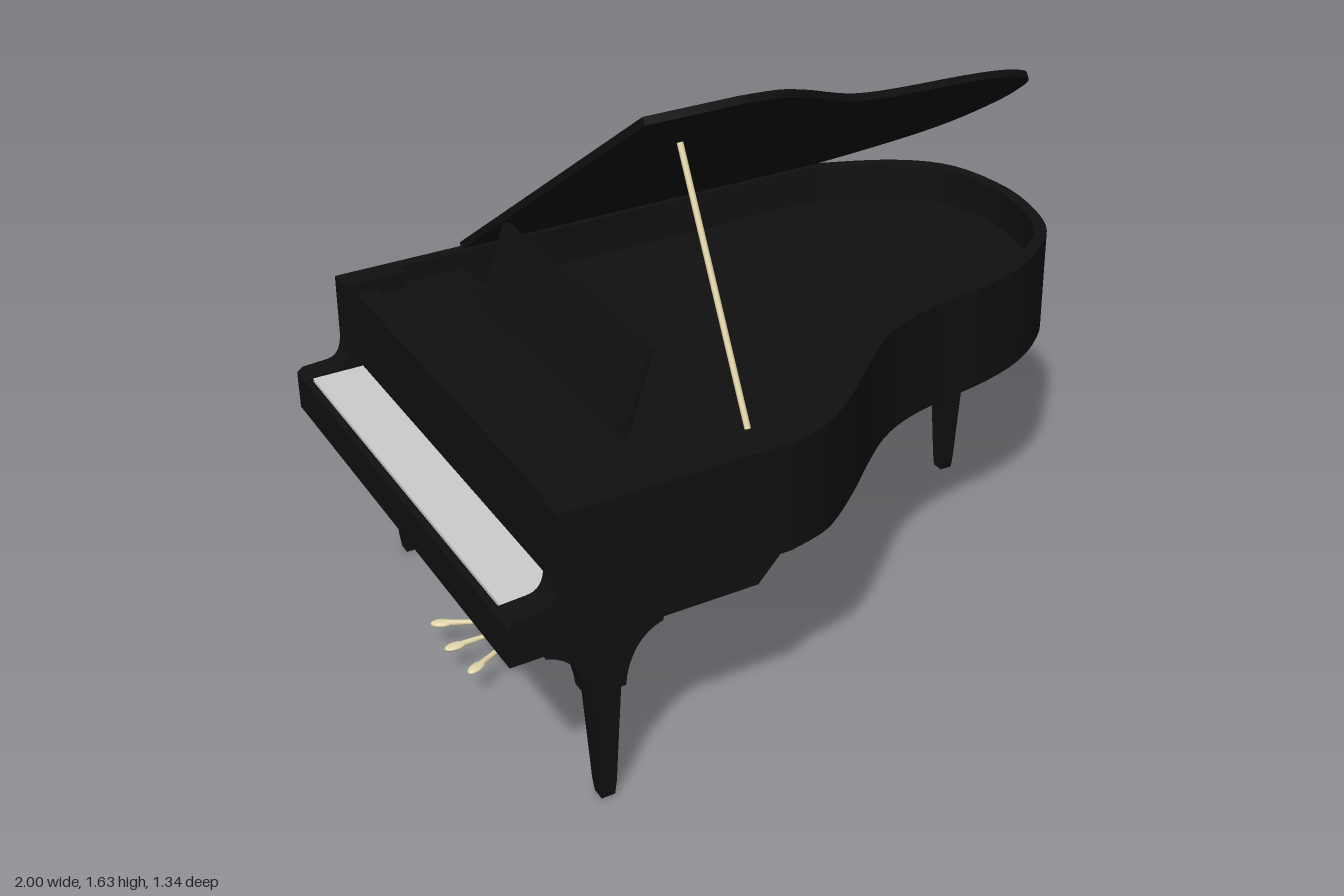
import * as THREE from 'three';
import { toCreasedNormals } from 'three/addons/utils/BufferGeometryUtils.js';

const black = new THREE.MeshStandardMaterial({ color: 0x101010 });
const brass = new THREE.MeshStandardMaterial({ color: 0xe0d4a8 });
const ivory = new THREE.MeshStandardMaterial({ color: 0xcccccc });

const V = (x, y, z) => new THREE.Vector3(x, y, z);

function add(parent, name, geometry, material = black) {
  const mesh = new THREE.Mesh(geometry, material);
  mesh.name = name;
  parent.add(mesh);
  return mesh;
}

// Box given by its minimum and maximum on each axis
function box(parent, name, [x0, x1], [y0, y1], [z0, z1], material) {
  const mesh = add(parent, name, new THREE.BoxGeometry(x1 - x0, y1 - y0, z1 - z0), material);
  mesh.position.set((x0 + x1) / 2, (y0 + y1) / 2, (z0 + z1) / 2);
  return mesh;
}

// Round rod between two points
function rod(parent, name, a, b, rA, rB = rA) {
  const dir = b.clone().sub(a);
  const mesh = add(parent, name, new THREE.CylinderGeometry(rB, rA, dir.length(), 10), brass);
  mesh.position.copy(a).add(b).multiplyScalar(0.5);
  mesh.quaternion.setFromUnitVectors(V(0, 1, 0), dir.normalize());
  return mesh;
}

// Plan of the case as (x, z) points, from the spine round the tail to the bent side
function outline(x0) {
  const bend = new THREE.SplineCurve([
    [0.58, -0.67], [0.78, -0.59], [0.91, -0.5], [0.975, -0.39], [1, -0.22], [0.98, -0.08],
    [0.94, 0.03], [0.87, 0.11], [0.75, 0.19], [0.6, 0.24], [0.42, 0.27], [0.3, 0.3], [0.2, 0.35],
    [0.1, 0.43], [0, 0.52], [-0.1, 0.6], [-0.17, 0.64], [-0.27, 0.665],
  ].map(([x, z]) => new THREE.Vector2(x, z))).getPoints(51);
  return [new THREE.Vector2(x0, -0.67), ...bend, new THREE.Vector2(x0, 0.665)];
}

// Points moved inwards from the plan by the rim thickness
function inset(points, t) {
  return points.map((p, i) => {
    const a = points[Math.max(i - 1, 0)], b = points[Math.min(i + 1, points.length - 1)];
    const end = i === 0 || i === points.length - 1;
    const d = end ? new THREE.Vector2(i === 0 ? 1 : -1, 0) : b.clone().sub(a).normalize();
    return new THREE.Vector2(p.x - d.y * t, p.y + d.x * t);
  });
}

// Horizontal slab cut to a plan
function slab(points, yTop, height) {
  const g = new THREE.ExtrudeGeometry(new THREE.Shape(points), { depth: height, bevelEnabled: false });
  g.rotateX(Math.PI / 2).translate(0, yTop, 0);
  return toCreasedNormals(g, 0.5);
}

// Side profile in x and y, extruded from z0 to z1
function profile(shape, z0, z1) {
  const g = new THREE.ExtrudeGeometry(shape, { depth: z1 - z0, bevelEnabled: false, curveSegments: 8 });
  return toCreasedNormals(g.translate(0, 0, z0), 0.5);
}

// Tapered leg with curved brackets on both sides
function legGeometry() {
  const s = new THREE.Shape();
  s.moveTo(-0.018, 0);
  s.lineTo(0.018, 0);
  s.lineTo(0.023, 0.04);
  s.lineTo(0.037, 0.32);
  s.lineTo(0.05, 0.32);
  s.bezierCurveTo(0.055, 0.4, 0.09, 0.455, 0.15, 0.47);
  s.lineTo(0.15, 0.5);
  s.lineTo(-0.15, 0.5);
  s.lineTo(-0.15, 0.47);
  s.bezierCurveTo(-0.09, 0.455, -0.055, 0.4, -0.05, 0.32);
  s.lineTo(-0.037, 0.32);
  s.lineTo(-0.023, 0.04);
  const g = new THREE.ExtrudeGeometry(s, { depth: 0.07, bevelEnabled: false, curveSegments: 8 });
  g.translate(0, 0, -0.035);
  const p = g.attributes.position;
  for (let i = 0; i < p.count; i++) {
    p.setZ(i, p.getZ(i) * THREE.MathUtils.lerp(0.52, 1, Math.min(p.getY(i) / 0.4, 1)));
  }
  return toCreasedNormals(g, 0.5);
}

function buildCase(piano) {
  const body = new THREE.Group();
  body.name = 'case';
  piano.add(body);

  // Rim, bottom and soundboard
  const outer = outline(-0.7);
  add(body, 'rim', slab([...outer, ...inset(outer, 0.035).reverse()], 0.86, 0.295));
  add(body, 'bottom', slab(inset(outline(-0.8), 0.01), 0.6, 0.034));
  add(body, 'soundboard', slab(inset(outline(-0.78), 0.02), 0.75, 0.03));

  // Key bed with a sloped rear edge
  const bed = new THREE.Shape([[-1, 0.5], [-0.36, 0.5], [-0.3, 0.565], [-1, 0.565]]
    .map(([x, y]) => new THREE.Vector2(x, y)));
  add(body, 'keyBed', profile(bed, -0.67, 0.665));

  // Arms beside the keys, sweeping up to the rim
  const arm = new THREE.Shape();
  arm.moveTo(-1, 0.565);
  arm.lineTo(-0.7, 0.565);
  arm.lineTo(-0.7, 0.86);
  arm.lineTo(-0.87, 0.86);
  arm.lineTo(-0.872, 0.69);
  arm.bezierCurveTo(-0.875, 0.64, -0.89, 0.623, -0.92, 0.622);
  arm.lineTo(-0.985, 0.618);
  arm.lineTo(-1, 0.605);
  add(body, 'leftArm', profile(arm, 0.59, 0.665));
  add(body, 'rightArm', profile(arm, -0.67, -0.6));

  // Keyboard, fallboard and shelf
  box(body, 'keySlip', [-1, -0.98], [0.565, 0.605], [-0.6, 0.59]);
  box(body, 'keys', [-0.98, -0.84], [0.565, 0.615], [-0.6, 0.59], ivory);
  box(body, 'fallboard', [-0.84, -0.78], [0.565, 0.83], [-0.6, 0.59]);
  box(body, 'musicShelf', [-0.78, -0.52], [0.79, 0.81], [-0.64, 0.635]);

  // Music desk leaning back
  const desk = box(body, 'musicDesk', [-0.535, -0.52], [0.81, 1.045], [-0.4, 0.4]);
  desk.rotation.z = -0.338;
  const ledge = box(body, 'musicLedge', [-0.59, -0.545], [0.845, 0.86], [-0.4, 0.4]);
  ledge.rotation.z = -0.25;
}

function buildLid(piano) {
  // Raised lid turning on the spine
  const hinge = new THREE.Group();
  hinge.name = 'lid';
  hinge.position.set(0, 0.86, -0.67);
  hinge.rotation.x = -Math.atan2(0.76, 1.1);
  add(hinge, 'lidPanel', slab(outline(-0.51), 0.01, 0.02).translate(0, 0, 0.67));
  piano.add(hinge);
  rod(piano, 'lidProp', V(-0.31, 0.84, 0.53), V(-0.31, 1.45, 0.22), 0.008);
}

function buildPedals(piano) {
  const lyre = new THREE.Group();
  lyre.name = 'pedalLyre';
  piano.add(lyre);
  box(lyre, 'lyreTop', [-0.8, -0.66], [0.475, 0.5], [-0.16, 0.16]);
  box(lyre, 'lyreBase', [-0.78, -0.67], [0.07, 0.105], [-0.11, 0.11]);
  for (const side of [-1, 1]) {
    const z = side * 0.06;
    box(lyre, 'lyrePost', [-0.77, -0.72], [0.1, 0.48], [z - 0.017, z + 0.017]);
    rod(lyre, 'lyreBrace', V(-0.68, 0.09, z * 0.85), V(-0.42, 0.51, z * 0.85), 0.005);
  }
  for (const k of [-1, 0, 1]) {
    rod(lyre, 'pedalRod', V(-0.692, 0.1, k * 0.05), V(-0.692, 0.5, k * 0.05), 0.005);
    const tip = V(k ? -0.86 : -0.87, 0.087, k * 0.11);
    rod(lyre, 'pedalArm', V(-0.76, 0.087, k * 0.06), tip, 0.006, 0.009);
    const pad = add(lyre, 'pedalPad', new THREE.SphereGeometry(1, 14, 10), brass);
    pad.scale.set(0.03, 0.008, 0.016);
    pad.position.copy(tip);
    pad.rotation.y = k * 0.45;
  }
}

export function createModel() {
  const piano = new THREE.Group();
  piano.name = 'grandPiano';
  buildCase(piano);
  buildLid(piano);
  buildPedals(piano);

  // Two legs under the keyboard, one under the tail
  const leg = legGeometry();
  add(piano, 'frontLeftLeg', leg).position.set(-0.75, 0, 0.605);
  add(piano, 'frontRightLeg', leg).position.set(-0.75, 0, -0.605);
  const tail = add(piano, 'tailLeg', leg);
  tail.position.set(0.8, 0, -0.205);
  tail.rotation.y = Math.PI / 2;
  return piano;
}
